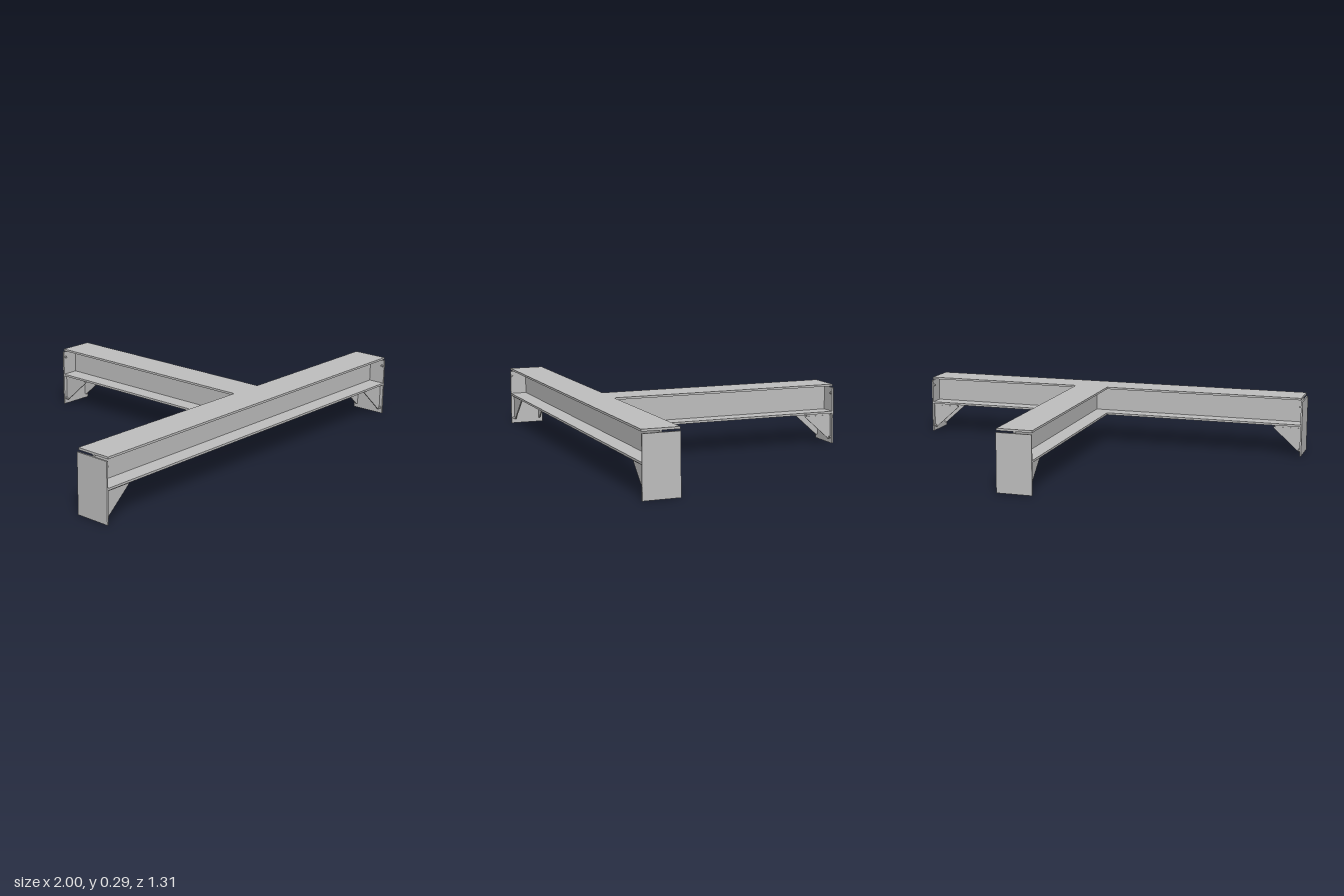
import * as THREE from 'three';

const WIDTH = 0.17, TOP = 0.295, BOTTOM = 0.15, FLANGE = 0.01, WEB = 0.008;
const MAIN_Z = 0.57, BRANCH_X = 0.097, END_X = 1, END_Z = 0.655, PLATE = 0.008;

export function createModel() {
  const steel = new THREE.MeshStandardMaterial({ color: 0xbfbfbf });
  steel.name = 'steel grey';
  const model = new THREE.Group();
  model.name = 'teeBeamFrame';

  function add(parent, name, geometry, x, y, z) {
    const mesh = new THREE.Mesh(geometry, steel);
    mesh.name = name;
    mesh.position.set(x, y, z);
    parent.add(mesh);
    return mesh;
  }
  const box = (parent, name, w, h, d, x, y, z) =>
    add(parent, name, new THREE.BoxGeometry(w, h, d), x, y, z);

  // I-beam along local x, from x0 to x1; the web may run further at its start
  function beam(name, x0, x1, webStart = x0) {
    const group = new THREE.Group();
    group.name = name;
    const length = x1 - x0, mid = (x0 + x1) / 2;
    box(group, 'topFlange', length, FLANGE, WIDTH, mid, TOP - FLANGE / 2, 0);
    box(group, 'bottomFlange', length, FLANGE, WIDTH, mid, BOTTOM + FLANGE / 2, 0);
    box(group, 'web', x1 - webStart, TOP - BOTTOM - 2 * FLANGE, WEB,
      (webStart + x1) / 2, (TOP + BOTTOM) / 2, 0);
    model.add(group);
    return group;
  }

  beam('mainBeam', -END_X + PLATE, END_X - PLATE).position.z = MAIN_Z;
  const branch = beam('branchBeam', -MAIN_Z + WIDTH / 2, END_Z - PLATE, -MAIN_Z + WEB / 2);
  branch.rotation.y = Math.PI / 2;
  branch.position.x = BRANCH_X;

  // Triangular gusset profile; the plate's inner face is at x = 0
  const profile = new THREE.Shape([
    [0, 0.02], [0, 0.14], [-0.14, 0.14], [-0.135, 0.133], [-0.008, 0.02],
  ].map(([x, y]) => new THREE.Vector2(x, y)));

  // End plate with seat, two gussets and four bolts, outer face at x = 0
  function endBracket(name, x, z, turn) {
    const group = new THREE.Group();
    group.name = name;
    box(group, 'endPlate', PLATE, 0.278, WIDTH, -PLATE / 2, 0.139, 0);
    box(group, 'seatPlate', 0.13, 0.008, 0.145, -PLATE - 0.065, 0.145, 0);
    for (const side of [-1, 1]) {
      const gusset = new THREE.ExtrudeGeometry(profile, { depth: 0.006, bevelEnabled: false });
      add(group, 'gusset', gusset, -PLATE, 0, side * 0.066 - 0.003);
      for (const y of [0.03, 0.25]) {
        const bolt = add(group, 'bolt', new THREE.CylinderGeometry(0.006, 0.006, 0.008, 6),
          -PLATE - 0.004, y, side * 0.075);
        bolt.rotation.z = Math.PI / 2;
      }
    }
    group.position.set(x, 0, z);
    group.rotation.y = turn;
    model.add(group);
  }

  endBracket('leftEnd', END_X, MAIN_Z, 0);
  endBracket('rightEnd', -END_X, MAIN_Z, Math.PI);
  endBracket('backEnd', BRANCH_X, -END_Z, Math.PI / 2);

  return model;
}
